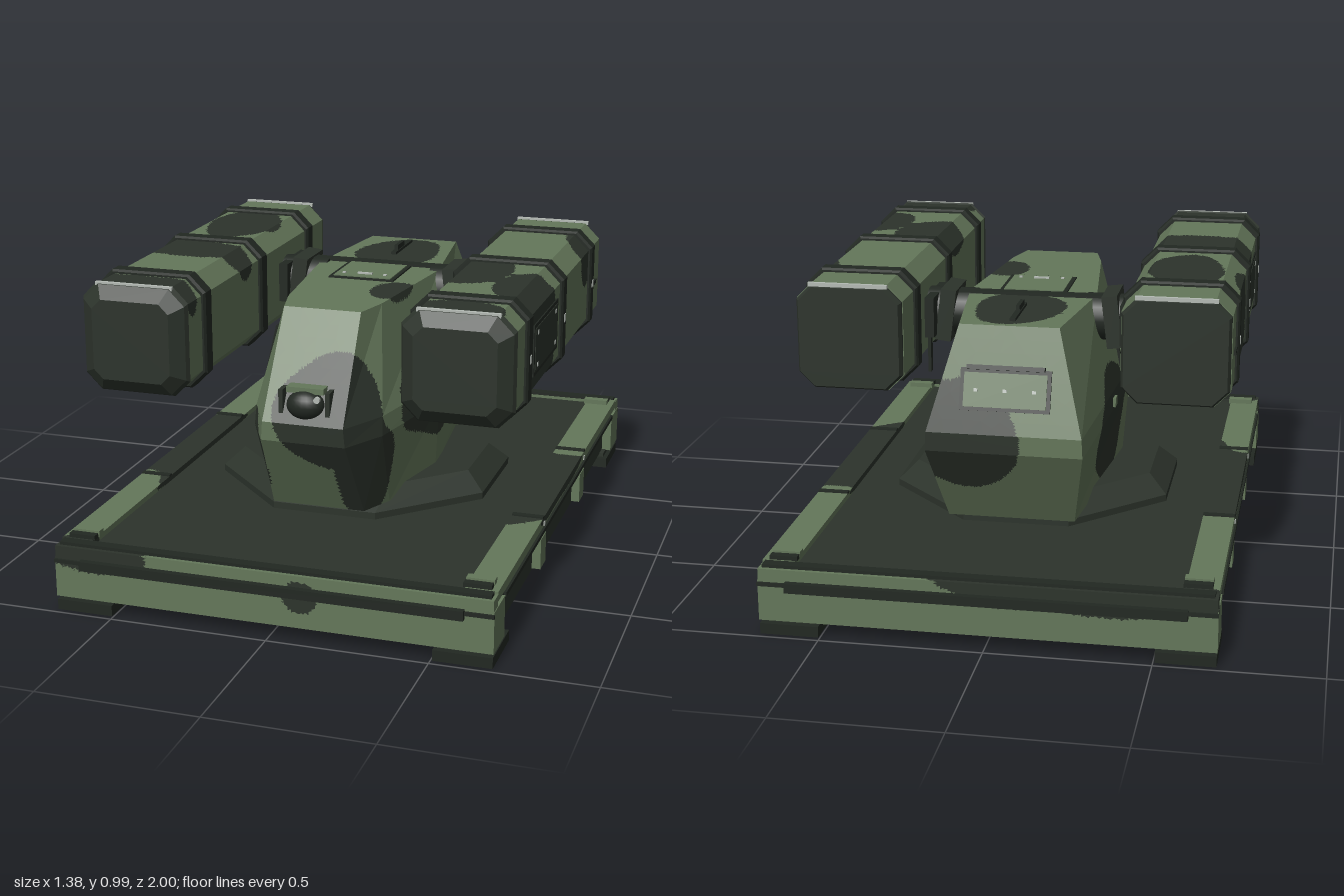
import * as THREE from 'three';

const mat = (name, color) => Object.assign(new THREE.MeshStandardMaterial({ color }), { name });
const green = mat('camouflage green', 0x64775a);
const dark = mat('camouflage dark', 0x2c332b);
const black = mat('trim black green', 0x222822);
const grey = mat('light metal', 0xb4bab4);

// Dark camouflage patches: ellipsoids as centre x, y, z, radius x, y, z
const patches = [
  // pods
  [0.64, 0.8, 0.37, 0.15, 0.32, 0.19], [0.42, 0.98, 0.25, 0.13, 0.12, 0.17],
  [0.5, 0.99, 0.7, 0.15, 0.06, 0.09], [0.66, 0.95, -0.3, 0.06, 0.13, 0.1],
  [-0.5, 0.98, -0.17, 0.12, 0.12, 0.2], [-0.55, 0.95, 0.23, 0.25, 0.15, 0.11],
  [-0.5, 0.95, 0.68, 0.2, 0.14, 0.07], [-0.68, 0.78, -0.1, 0.06, 0.2, 0.16],
  // turret
  [0.08, 0.59, 0.6, 0.18, 0.18, 0.17], [0.16, 0.39, 0.52, 0.09, 0.18, 0.14],
  [-0.18, 0.42, 0.5, 0.055, 0.16, 0.12], [0.27, 0.57, 0.08, 0.12, 0.18, 0.31],
  [0.14, 0.55, -0.62, 0.19, 0.18, 0.15], [-0.27, 0.45, -0.15, 0.1, 0.2, 0.2],
  [0.01, 0.9, -0.34, 0.15, 0.08, 0.2], [0.14, 0.89, 0.17, 0.08, 0.05, 0.11],
  // base frame
  [-0.56, 0.19, 0.96, 0.19, 0.055, 0.08], [0.1, 0.14, 0.98, 0.055, 0.05, 0.06],
  [-0.3, 0.2, -0.96, 0.47, 0.07, 0.08], [0, 0.21, 0.03, 0.9, 0.03, 0.5],
];
const isDark = p => patches.some(([x, y, z, a, b, c]) =>
  ((p.x - x) / a) ** 2 + ((p.y - y) / b) ** 2 + ((p.z - z) / c) ** 2 <
  1 + 0.12 * Math.sin(17 * p.x + 23 * p.y + 14 * p.z));

// Splits faces along the patch borders and sorts them into two colour groups
function camo(name, geometry) {
  const pos = (geometry.index ? geometry.toNonIndexed() : geometry).attributes.position;
  const out = [[], []];
  const split = (a, b, c) => {
    const l = [a.distanceTo(b), b.distanceTo(c), c.distanceTo(a)];
    const m = Math.max(...l);
    const n = [a, b, c].filter(isDark).length;
    if (m < 0.014 || (m < 0.07 && n % 3 === 0)) {
      out[n > 1 ? 1 : 0].push(...a.toArray(), ...b.toArray(), ...c.toArray());
      return;
    }
    const [p, q, r] = m === l[0] ? [a, b, c] : m === l[1] ? [b, c, a] : [c, a, b];
    const mid = p.clone().lerp(q, 0.5);
    split(p, mid, r);
    split(mid, q, r);
  };
  const v = i => new THREE.Vector3().fromBufferAttribute(pos, i);
  for (let i = 0; i < pos.count; i += 3) split(v(i), v(i + 1), v(i + 2));
  const g = new THREE.BufferGeometry();
  g.setAttribute('position', new THREE.Float32BufferAttribute(out[0].concat(out[1]), 3));
  g.addGroup(0, out[0].length / 3, 0);
  g.addGroup(out[0].length / 3, out[1].length / 3, 1);
  g.computeVertexNormals();
  const mesh = new THREE.Mesh(g, [green, dark]);
  mesh.name = name;
  return mesh;
}

// Closed flat-faced skin through equal loops of points
function loft(rings) {
  const p = [];
  const n = rings[0].length, end = rings[rings.length - 1];
  const tri = (a, b, c) => p.push(...a, ...b, ...c);
  for (let k = 0; k + 1 < rings.length; k++) for (let i = 0; i < n; i++) {
    const j = (i + 1) % n, a = rings[k], b = rings[k + 1];
    tri(a[i], a[j], b[j]);
    tri(a[i], b[j], b[i]);
  }
  for (let i = 1; i + 1 < n; i++) {
    tri(rings[0][0], rings[0][i + 1], rings[0][i]);
    tri(end[0], end[i], end[i + 1]);
  }
  const g = new THREE.BufferGeometry();
  g.setAttribute('position', new THREE.Float32BufferAttribute(p, 3));
  g.computeVertexNormals();
  return g;
}
const octagon = (u, v, c) => [[u, c - v], [u, v - c], [u - c, v], [c - u, v],
  [-u, v - c], [-u, c - v], [c - u, -v], [u - c, -v]];

export function createModel() {
  const root = new THREE.Group();
  root.name = 'twinPodLauncher';
  const add = (name, geo, material, x = 0, y = 0, z = 0, rx = 0, rz = 0) => {
    const m = new THREE.Mesh(geo, material);
    m.name = name;
    m.position.set(x, y, z);
    m.rotation.set(rx, 0, rz);
    root.add(m);
  };
  const box = (name, material, w, h, d, x, y, z, rx, rz) =>
    add(name, new THREE.BoxGeometry(w, h, d), material, x, y, z, rx, rz);
  const camoBox = (name, w, h, d, x, y, z) =>
    root.add(camo(name, new THREE.BoxGeometry(w, h, d).translate(x, y, z)));

  // Base pallet
  box('deck', dark, 1.31, 0.155, 1.9, 0, 0.1225, 0);
  for (const e of [1, -1]) {
    camoBox('endBeam', 1.37, 0.165, 0.05, 0, 0.1275, e * 0.955);
    box('endLip', black, 1.35, 0.012, 0.035, 0, 0.214, e * 0.95);
    box('endRail', black, 1.2, 0.03, 0.02, 0, 0.16, e * 0.99);
    box('endRailStrip', black, 1.376, 0.012, 0.01, 0, 0.163, e * 0.982);
    camoBox('sideRail', 0.1, 0.03, 1.86, e * 0.635, 0.203, 0);
    box('sideStrip', black, 0.008, 0.014, 1.7, e * 0.687, 0.178, 0);
    for (const f of [1, -1]) {
      box('foot', black, 0.18, 0.034, 0.2, e * 0.595, 0.017, f * 0.88);
      box('footNeck', dark, 0.15, 0.015, 0.16, e * 0.595, 0.04, f * 0.88);
      camoBox('cornerPost', 0.09, 0.13, 0.13, e * 0.642, 0.11, f * 0.915);
      box('sideRib', green, 0.03, 0.1, 0.075, e * 0.668, 0.1, f * 0.31);
      box('ribPin', grey, 0.012, 0.014, 0.012, e * 0.682, 0.197, f * 0.32);
      box('cornerClamp', green, 0.085, 0.018, 0.03, e * 0.622, 0.225, f * 0.875);
      box('clampBar', black, 0.085, 0.014, 0.025, e * 0.622, 0.224, f * 0.91);
      box('railJoint', black, 0.1, 0.008, 0.02, e * 0.635, 0.219, f * 0.33);
    }
  }

  // Turret plinth
  const plan = (hx, hz, c, y) => octagon(hz, hx, c).map(([z, x]) => [x, y, z]);
  add('plinth', loft([plan(0.45, 0.46, 0.28, 0.2), plan(0.45, 0.46, 0.28, 0.222),
    plan(0.39, 0.34, 0.2, 0.28)]), dark);

  // Faceted turret shell, half sections from nose to tail
  const sections = [
    [0.245, [0.15, 0.51], [0.2, 0.4], [0.266, 0.1], [0.2, -0.53]],
    [0.5, [0.135, 0.655], [0.21, 0.51], [0.285, 0.12], [0.243, -0.665]],
    [0.56, [0.13, 0.657], [0.207, 0.5], [0.283, 0.11], [0.24, -0.665]],
    [0.875, [0.125, 0.46], [0.155, 0.34], [0.208, -0.13], [0.155, -0.555]],
  ];
  root.add(camo('turretShell', loft(sections.map(([y, ...half]) => [
    ...half.map(([x, z]) => [x, y, z]),
    ...half.slice().reverse().map(([x, z]) => [-x, y, z]),
  ]))));

  // Roof hatch, slot handle and cross bar
  box('hatchRim', black, 0.22, 0.006, 0.22, 0, 0.877, -0.035);
  box('hatch', green, 0.195, 0.008, 0.195, 0, 0.879, -0.035);
  box('hatchHandle', grey, 0.05, 0.006, 0.01, 0, 0.885, 0.025);
  for (const s of [1, -1]) box('hatchBolt', grey, 0.01, 0.005, 0.01, s * 0.07, 0.885, 0.03);
  box('roofSlot', black, 0.018, 0.01, 0.2, 0, 0.879, -0.4);
  box('roofFin', black, 0.012, 0.022, 0.08, 0, 0.89, -0.37);
  box('crossBar', black, 0.5, 0.018, 0.035, 0, 0.875, -0.165);

  // Rear access panel
  const tilt = 0.335;
  box('rearPanelRim', black, 0.28, 0.13, 0.012, 0, 0.69, -0.62, tilt);
  box('rearPanel', green, 0.255, 0.105, 0.012, 0, 0.69, -0.624, tilt);
  box('rearPanelHandle', black, 0.24, 0.014, 0.03, 0, 0.755, -0.603, tilt);
  for (const s of [-1, 0, 1]) box('rearBolt', grey, 0.012, 0.01, 0.012, s * 0.09, 0.69, -0.628, tilt);

  // Nose sight
  add('sightDome', new THREE.SphereGeometry(0.055, 20, 12).scale(1.1, 0.85, 0.8), black, 0, 0.615, 0.622);
  box('sightHood', green, 0.12, 0.018, 0.05, 0, 0.662, 0.606);
  for (const s of [1, -1]) box('sightGuard', dark, 0.014, 0.075, 0.05, s * 0.075, 0.625, 0.615);
  add('sightLens', new THREE.CylinderGeometry(0.01, 0.01, 0.012, 12), grey, 0.045, 0.642, 0.648, Math.PI / 2);

  for (const s of [1, -1]) {
    // Side vent, side box and trunnion arm
    box('sideVentRim', black, 0.012, 0.15, 0.21, s * 0.26, 0.66, 0.1, 0, s * 0.235);
    box('sideVent', green, 0.014, 0.12, 0.18, s * 0.262, 0.66, 0.1, 0, s * 0.235);
    box('sideBox', green, 0.02, 0.03, 0.04, s * 0.268, 0.525, -0.15);
    add('trunnion', new THREE.CylinderGeometry(0.075, 0.075, 0.16, 20), black, s * 0.26, 0.81, -0.15, 0, Math.PI / 2);
    box('armBlock', dark, 0.05, 0.17, 0.16, s * 0.27, 0.81, -0.15, 0, s * 0.12);
    box('armPlate', black, 0.03, 0.13, 0.22, s * 0.315, 0.81, -0.16);
    box('hangingRod', black, 0.01, 0.14, 0.025, s * 0.332, 0.68, -0.19);

    // Launch pod: camouflaged tube, straps and end covers
    const cx = s * 0.505, cy = 0.81;
    const ring = (z, h, c) => octagon(h, h, c).map(([x, y]) => [cx + x, cy + y, z]);
    root.add(camo('podBody', loft([ring(-0.525, 0.168, 0.05), ring(0.72, 0.168, 0.05)])));
    for (const z of [0.585, 0.1, -0.36]) {
      add('podStrap', loft([ring(z - 0.03, 0.174, 0.05), ring(z - 0.022, 0.18, 0.052),
        ring(z + 0.022, 0.18, 0.052), ring(z + 0.03, 0.174, 0.05)]), black);
      box('strapBuckle', grey, 0.006, 0.025, 0.02, s * 0.684, cy, z);
    }
    add('frontCover', loft([ring(0.715, 0.165, 0.05), ring(0.725, 0.172, 0.05),
      ring(0.74, 0.165, 0.05), ring(0.772, 0.125, 0.03)]), dark);
    add('rearCover', loft([ring(-0.55, 0.158, 0.045), ring(-0.535, 0.166, 0.05),
      ring(-0.52, 0.166, 0.05)]), dark);
    for (const z of [0.732, -0.543]) box('coverHinge', grey, 0.25, 0.012, 0.012, cx, 0.976, z);

    // Service panel on the outer side of the pod
    box('podPanelRim', black, 0.006, 0.16, 0.335, s * 0.674, 0.81, 0.335);
    box('podPanel', dark, 0.008, 0.135, 0.31, s * 0.675, 0.81, 0.335);
    for (const y of [0.76, 0.86]) for (const z of [0.21, 0.46])
      box('panelBolt', grey, 0.006, 0.012, 0.012, s * 0.678, y, z);
    box('podLatch', black, 0.01, 0.014, 0.05, s * 0.675, 0.795, -0.435);
  }
  return root;
}
